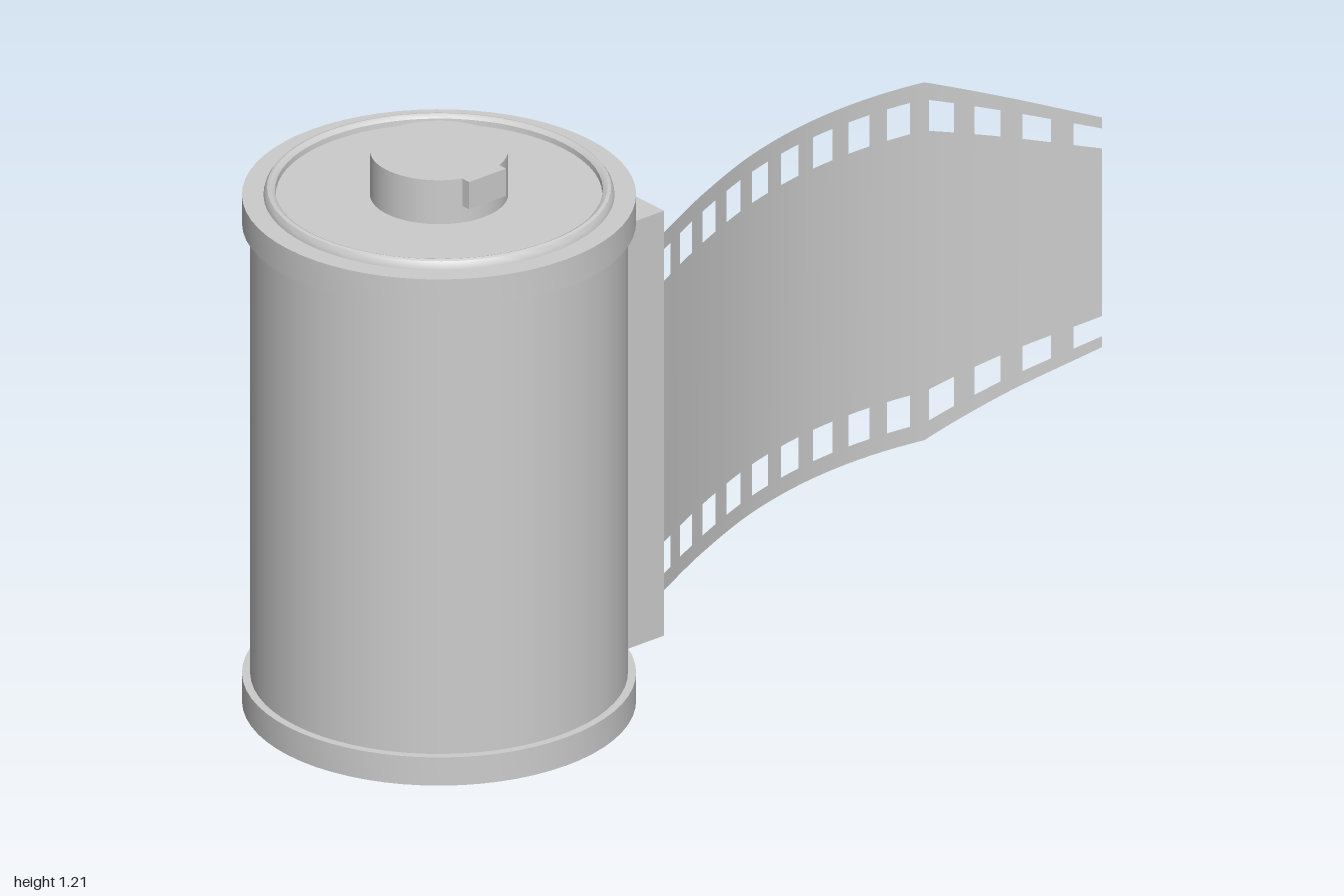
import * as THREE from 'three';
import { toCreasedNormals } from 'three/addons/utils/BufferGeometryUtils.js';

const SEG = 64;
const CAN_X = -0.615;
const HEIGHT = 1.132; // can height without the spool

const metal = new THREE.MeshStandardMaterial({ color: 0xcccccc });
metal.name = 'grey';
const filmGrey = metal.clone();
filmGrey.side = THREE.DoubleSide;

function add(parent, name, geometry, x = 0, y = 0, z = 0, material = metal) {
  const mesh = new THREE.Mesh(geometry, material);
  mesh.name = name;
  mesh.position.set(x, y, z);
  parent.add(mesh);
  return mesh;
}

// Profile points run from bottom to top so that the faces look outward
function lathe(points) {
  const profile = points.map(([r, y]) => new THREE.Vector2(r, y));
  return toCreasedNormals(new THREE.LatheGeometry(profile, SEG), 0.6);
}

// Curved strip with two rows of open perforations and a tapered end
function filmGeometry() {
  const start = -0.205, end = 1.0, bend = 0.65, midY = 0.5675;
  const stations = [0, 1, 2, 3, 4, 5, 6].map((i) => start + (i * (end - start)) / 6);
  const depth = new THREE.CubicInterpolant(
    stations, [0.175, 0.077, -0.001, -0.041, -0.038, 0.01, 0.094], 1, new Float32Array(1));
  const halfHeight = (x) => 0.3875 - Math.max(0, (x - bend) / (end - bend)) * 0.139;

  // Columns: each hole and each bridge is cut into two slices
  const columns = [], isHole = [];
  const span = (a, b, hole) => {
    for (let k = 0; k < 2; k++) {
      columns.push(a + ((b - a) * k) / 2);
      isHole.push(hole);
    }
  };
  const pitch = 0.0956, width = 0.053;
  let x = start;
  for (let i = 0; i < 13; i++) {
    const b = i === 12 ? end : -0.147 + pitch * i;
    const a = i === 0 ? start : b - width;
    if (i === 9) {
      span(x, bend, false);
      span(bend, a, false);
    } else if (i > 0) {
      span(x, a, false);
    }
    span(a, b, true);
    x = b;
  }
  columns.push(end);

  const rows = [-1, -0.905, -0.73, 0.73, 0.905, 1];
  const positions = [], index = [], n = rows.length;
  columns.forEach((cx, i) => {
    const z = depth.evaluate(cx)[0];
    rows.forEach((r) => positions.push(cx, midY + r * halfHeight(cx), z));
    if (i === columns.length - 1) return;
    for (let j = 0; j < n - 1; j++) {
      if (isHole[i] && (j === 1 || j === 3)) continue;
      const a = i * n + j, b = a + n;
      index.push(a, b, b + 1, a, b + 1, a + 1);
    }
  });
  const geometry = new THREE.BufferGeometry();
  geometry.setAttribute('position', new THREE.Float32BufferAttribute(positions, 3));
  geometry.setIndex(index);
  geometry.computeVertexNormals();
  return geometry;
}

export function createModel() {
  const model = new THREE.Group();
  model.name = 'filmCanister';

  const can = new THREE.Group();
  can.name = 'can';
  can.position.x = CAN_X;
  model.add(can);

  // Can wall
  add(can, 'canWall', new THREE.CylinderGeometry(0.369, 0.369, 1.0, SEG, 1, true), 0, HEIGHT / 2);

  // End caps with a rounded raised ring and a sunken disc
  const cap = [
    [0.36, 1.053], [0.385, 1.053], [0.385, 1.114], [0.343, 1.114], [0.341, 1.123],
    [0.336, 1.13], [0.33, 1.132], [0.325, 1.13], [0.32, 1.125], [0.319, 1.114], [0, 1.114],
  ];
  add(can, 'topCap', lathe(cap));
  add(can, 'bottomCap', lathe(cap.map(([r, y]) => [r, HEIGHT - y]).reverse()));

  // Spool end with its key
  add(can, 'spool', new THREE.CylinderGeometry(0.135, 0.135, 0.1, SEG), 0, 1.159);
  add(can, 'spoolKey', new THREE.BoxGeometry(0.094, 0.059, 0.06), 0, 1.1795, 0.117);

  // Slot lip where the film comes out
  add(model, 'filmSlot', new THREE.BoxGeometry(0.097, 0.92, 0.125), -0.2555, 0.565, 0.1355);

  add(model, 'film', filmGeometry(), 0, 0, 0, filmGrey);
  return model;
}
